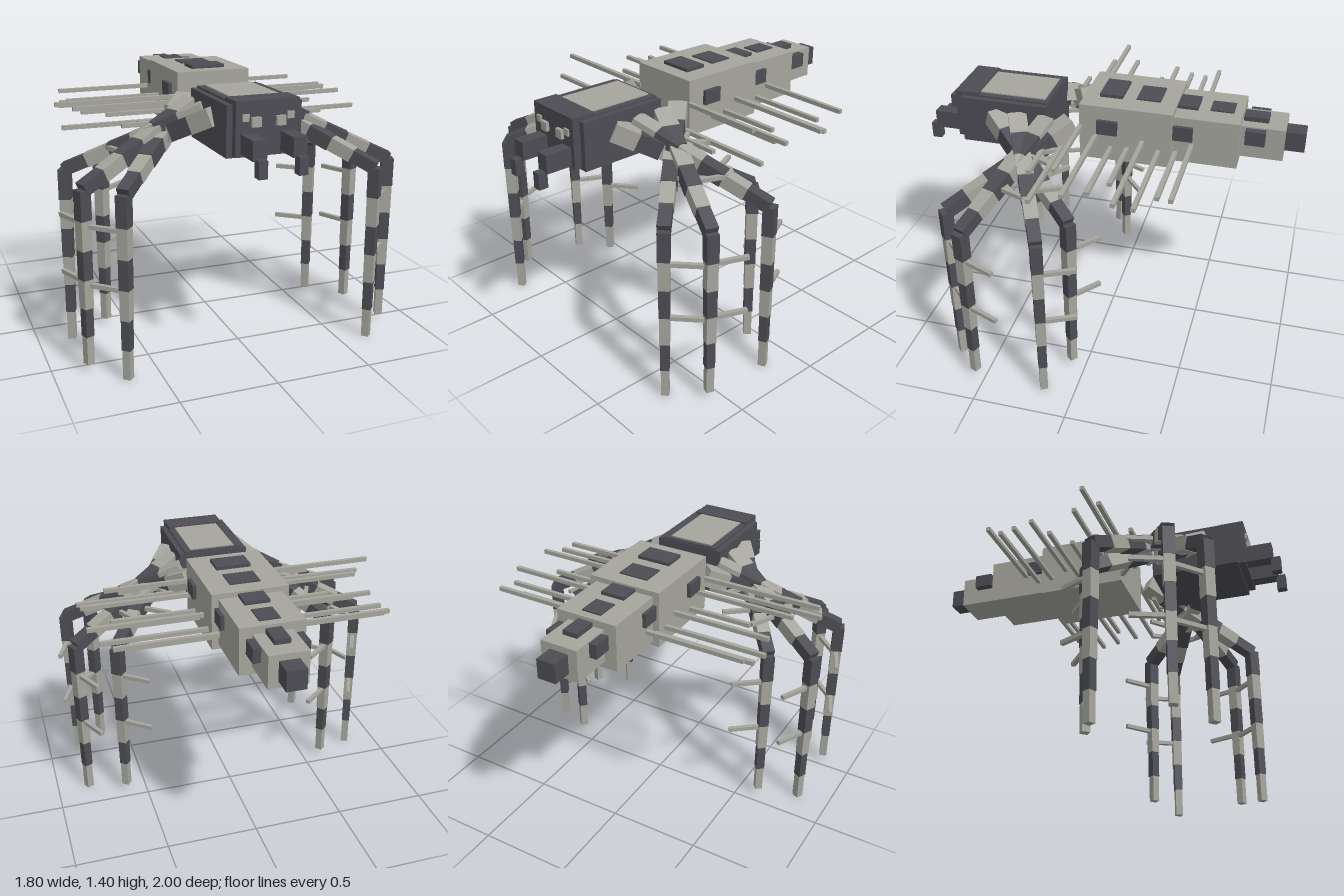
import * as THREE from 'three';

const mat = (name, color) => {
  const m = new THREE.MeshStandardMaterial({ color });
  m.name = name;
  return m;
};

export function createModel() {
  const light = mat('paleGrey', 0xa5a59d);
  const dark = mat('charcoal', 0x4d4c53);
  const model = new THREE.Group();
  model.name = 'spider';

  // Box given by its ranges on each axis
  const box = (name, m, x0, x1, y0, y1, z0, z1, parent = model) => {
    const mesh = new THREE.Mesh(new THREE.BoxGeometry(x1 - x0, y1 - y0, z1 - z0), m);
    mesh.position.set((x0 + x1) / 2, (y0 + y1) / 2, (z0 + z1) / 2);
    mesh.name = name;
    parent.add(mesh);
    return mesh;
  };

  // Square bar between two points, kept level across "side"
  const bar = (name, m, a, b, width, side, parent) => {
    const dir = b.clone().sub(a);
    const mesh = new THREE.Mesh(new THREE.BoxGeometry(width, width, dir.length()), m);
    mesh.position.copy(a).add(b).multiplyScalar(0.5);
    dir.normalize();
    const up = dir.clone().cross(side).normalize();
    mesh.quaternion.setFromRotationMatrix(new THREE.Matrix4().makeBasis(side, up, dir));
    mesh.name = name;
    parent.add(mesh);
  };

  // Head
  box('head', dark, -0.19, 0.19, 1.08, 1.33, 0.31, 0.78);
  box('headTop', dark, -0.16, 0.16, 1.32, 1.34, 0.315, 0.7);
  box('headPlate', light, -0.125, 0.125, 1.338, 1.346, 0.335, 0.69);
  box('face', dark, -0.16, 0.16, 1.09, 1.352, 0.69, 0.82);
  for (const s of [-1, 1]) {
    const cx = s * 0.1;
    box('jaw', dark, cx - 0.035, cx + 0.035, 1.105, 1.2, 0.82, 0.96);
    box('fang', dark, cx - 0.022, cx + 0.022, 1.03, 1.115, 0.95, 1.0);
    box('innerEye', light, s * 0.062 - 0.023, s * 0.062 + 0.023, 1.23, 1.276, 0.815, 0.838);
    box('outerEye', light, s * 0.113 - 0.017, s * 0.113 + 0.017, 1.258, 1.292, 0.815, 0.83);
  }

  // Abdomen, stepping down to the tail
  box('abdomenFront', light, -0.2, 0.2, 1.08, 1.38, -0.35, 0.13);
  box('abdomenMiddle', light, -0.165, 0.165, 1.105, 1.353, -0.68, -0.35);
  box('abdomenRear', light, -0.1, 0.1, 1.145, 1.315, -0.9, -0.68);
  box('tail', dark, -0.05, 0.05, 1.18, 1.283, -1.0, -0.9);

  // Dark markings: half width, top, back, front
  for (const [w, top, z0, z1] of [
    [0.092, 1.397, -0.07, 0.05], [0.08, 1.387, -0.265, -0.14], [0.065, 1.37, -0.455, -0.35],
    [0.053, 1.36, -0.635, -0.515], [0.04, 1.34, -0.81, -0.685],
  ]) box('topMarking', dark, -w, w, top - 0.04, top, z0, z1);
  for (const s of [-1, 1]) {
    for (const [x, z0, z1] of [[0.2, -0.07, 0.035], [0.165, -0.45, -0.345], [0.1, -0.805, -0.705]]) {
      const out = x + (x < 0.15 ? 0.04 : 0.02);
      const xs = s > 0 ? [x - 0.02, out] : [-out, 0.02 - x];
      box('sideMarking', dark, xs[0], xs[1], 1.232, 1.308, z0, z1);
    }
  }

  // Long bristles: z, height, right reach, left reach
  for (const [z, y, r, l] of [
    [-0.45, 1.215, 0.71, 0.71], [-0.37, 1.165, 0.725, 0.63], [-0.285, 1.165, 0.745, 0.75],
    [-0.2, 1.205, 0.72, 0.795], [-0.12, 1.155, 0.66, 0.55], [-0.035, 1.15, 0.545, 0.65],
    [0.045, 1.21, 0.74, 0.79], [0.125, 1.255, 0.845, 0.65], [0.21, 1.155, 0.83, 0.79],
    [0.29, 1.16, 0.55, 0.55],
  ]) {
    const h = 0.011;
    box('bristle', light, -r, -0.19, y - h, y + h, z - h, z + h);
    box('bristle', light, 0.19, l, y - h, y + h, z - h, z + h);
  }

  // Legs: hip and knee on the ground plan, foot height, spine height
  const legs = [
    [0.17, 0.18, 0.66, 0.70, 0, 0.755],
    [0.18, 0.30, 0.82, 0.555, 0.04, 0.77],
    [0.18, 0.475, 0.82, 0.17, 0, 0.755],
    [0.18, 0.60, 0.61, 0.075, 0.04, 0.77],
  ];
  const upperWidths = [0.095, 0.09, 0.082, 0.076, 0.07, 0.064];
  const lowerWidths = [0.06, 0.056, 0.053, 0.05, 0.045, 0.04];
  for (const s of [-1, 1]) {
    legs.forEach(([hx, hz, kx, kz, footY, spineY], i) => {
      const leg = new THREE.Group();
      leg.name = (s > 0 ? 'left' : 'right') + 'Leg' + (i + 1);
      model.add(leg);
      const hip = new THREE.Vector3(s * hx, 1.245, hz);
      const knee = new THREE.Vector3(s * kx, 0.935, kz);
      const foot = new THREE.Vector3(s * kx, footY, kz);
      const flat = knee.clone().sub(hip).setY(0).normalize();
      const side = new THREE.Vector3(flat.z, 0, -flat.x);
      const at = (a, b, t) => a.clone().lerp(b, t);
      for (let k = 0; k < 6; k++) {
        bar('upperSegment', k % 2 ? dark : light, at(hip, knee, k / 6), at(hip, knee, (k + 1) / 6), upperWidths[k], side, leg);
        bar('lowerSegment', k % 2 ? light : dark, at(knee, foot, k / 6), at(knee, foot, (k + 1) / 6), lowerWidths[k], side, leg);
      }
      // Spines stick out sideways towards the back
      const back = side.clone().multiplyScalar(side.z > 0 ? -0.19 : 0.19);
      const roots = [
        foot.clone().setY(spineY), foot.clone().setY(spineY - 0.297),
        at(hip, knee, 0.3), at(hip, knee, 0.6),
      ];
      for (const p of roots) bar('legSpine', light, p, p.clone().add(back), 0.022, flat, leg);
    });
  }
  return model;
}
